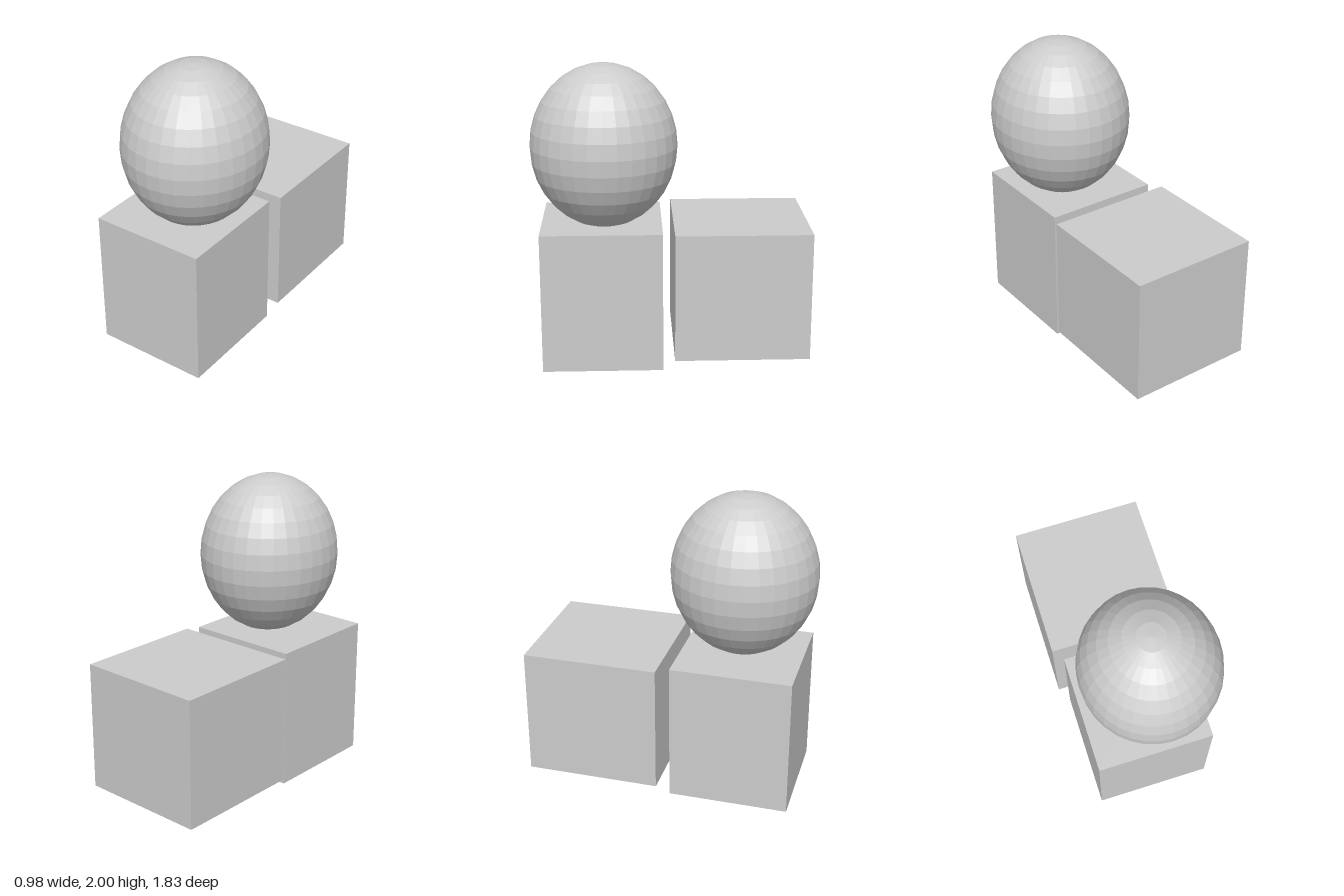
import * as THREE from 'three';

export function createModel() {
  const group = new THREE.Group();
  const grey = new THREE.MeshStandardMaterial({ color: 0xcccccc, flatShading: true });
  grey.name = 'light grey';

  // Adds a block spanning the given min and max corners
  const addBlock = (name, min, max) => {
    const size = max.map((v, i) => v - min[i]);
    const mesh = new THREE.Mesh(new THREE.BoxGeometry(...size), grey);
    mesh.position.set(...max.map((v, i) => (v + min[i]) / 2));
    mesh.name = name;
    group.add(mesh);
  };

  // Two blocks set one behind the other, with a narrow gap
  addBlock('frontBlock', [-0.433, 0, 0.054], [0.344, 0.94, 0.849]);
  addBlock('backBlock', [-0.492, 0.08, -0.914], [0.381, 0.94, -0.023]);

  // Faceted ellipsoid resting on the front block
  const ball = new THREE.SphereGeometry(1, 32, 16);
  ball.scale(0.457, 0.54, 0.482);
  const head = new THREE.Mesh(ball, grey);
  head.position.set(0.033, 1.46, 0.431);
  head.name = 'head';
  group.add(head);

  return group;
}
